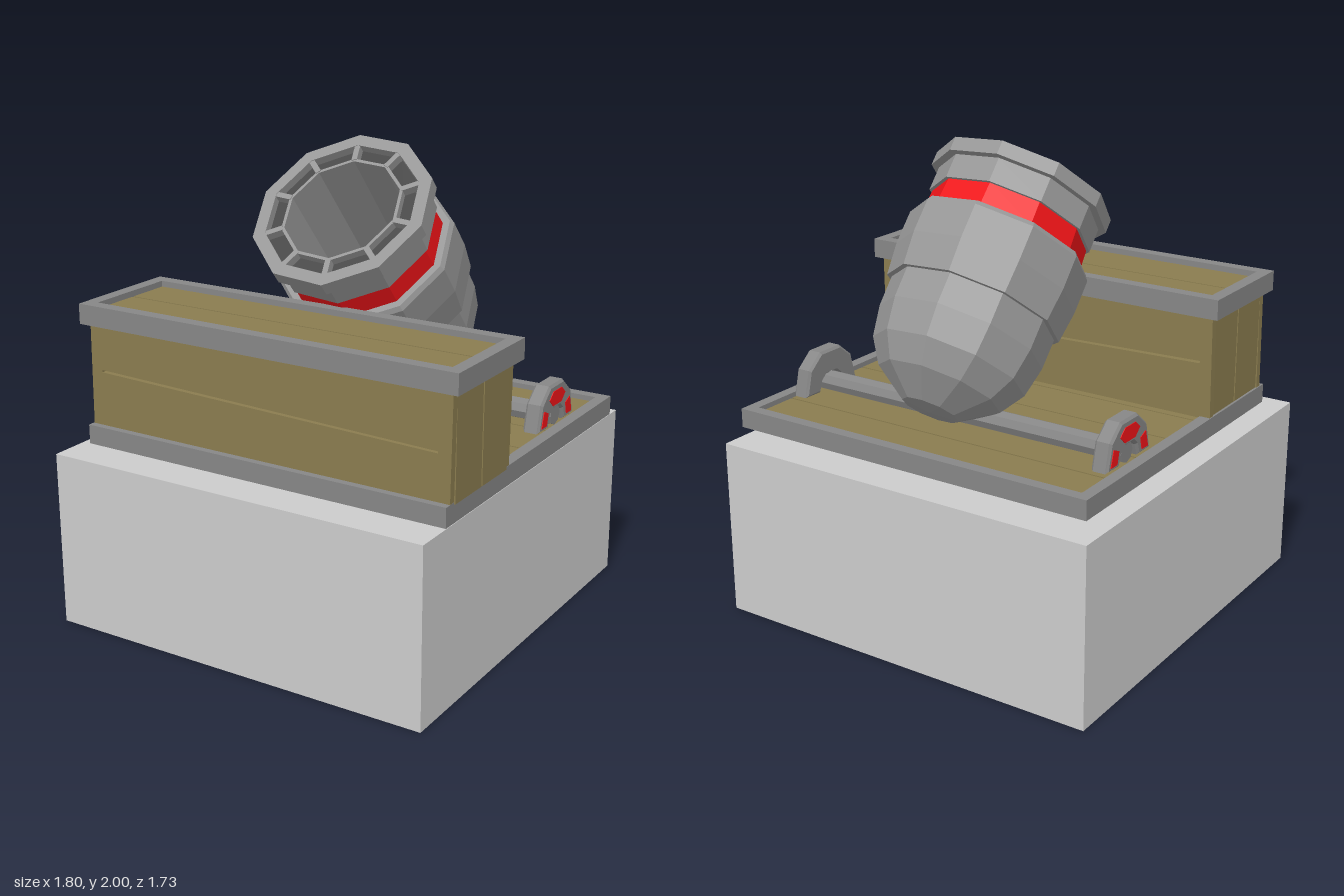
import * as THREE from 'three';

const mat = (color, extra = {}) => new THREE.MeshStandardMaterial({ color, flatShading: true, ...extra });
const stone = mat(0xcccccc);
const trim = mat(0x868686);
const iron = mat(0x969696);
const dark = mat(0x444444);
const wood = mat(0x8a7c4f);
const red = mat(0xf01418);

function add(parent, name, geometry, material) {
  const mesh = new THREE.Mesh(geometry, material);
  mesh.name = name;
  parent.add(mesh);
  return mesh;
}

// Box given by its limits on each axis
function box(parent, name, material, [x0, x1], [y0, y1], [z0, z1]) {
  const mesh = add(parent, name, new THREE.BoxGeometry(x1 - x0, y1 - y0, z1 - z0), material);
  mesh.position.set((x0 + x1) / 2, (y0 + y1) / 2, (z0 + z1) / 2);
  return mesh;
}

// Rectangular border of four bars
function border(parent, name, [x0, x1], y, [z0, z1], w) {
  const group = new THREE.Group();
  group.name = name;
  box(group, 'frontBar', trim, [x0, x1], y, [z1 - w, z1]);
  box(group, 'backBar', trim, [x0, x1], y, [z0, z0 + w]);
  box(group, 'leftBar', trim, [x1 - w, x1], y, [z0 + w, z1 - w]);
  box(group, 'rightBar', trim, [x0, x0 + w], y, [z0 + w, z1 - w]);
  parent.add(group);
}

const points = list => list.map(([x, y]) => new THREE.Vector2(x, y));

// Flat outline, optionally with a hole, pushed out along z
function slab(outline, depth, hole, bevel = 0) {
  const shape = new THREE.Shape(points(outline));
  if (hole) shape.holes.push(new THREE.Path(points(hole)));
  return new THREE.ExtrudeGeometry(shape, {
    depth, bevelEnabled: bevel > 0, bevelSize: bevel, bevelThickness: bevel, bevelSegments: 1,
  });
}

// Ten-sided turned part
const SIDES = 10;
const START = THREE.MathUtils.degToRad(13);
const turned = profile => new THREE.LatheGeometry(points(profile), SIDES, START);

function buildBarrel() {
  const barrel = new THREE.Group();
  barrel.name = 'barrel';
  // Rounded breech, stepped into the wider jacket
  add(barrel, 'breech', turned([
    [0, -1.035], [0.12, -1.025], [0.26, -0.93], [0.325, -0.83], [0.35, -0.7], [0.352, -0.55],
  ]), iron);
  add(barrel, 'jacket', turned([
    [0.34, -0.57], [0.372, -0.57], [0.388, -0.43], [0.388, -0.285], [0.375, -0.265], [0.3, -0.265],
  ]), iron);
  add(barrel, 'redBand', turned([[0.345, -0.27], [0.338, -0.16]]), red);
  // Muzzle collar, rim and recess wall
  add(barrel, 'muzzle', turned([
    [0.3, -0.165], [0.352, -0.165], [0.352, -0.06], [0.385, -0.06], [0.385, 0], [0.33, 0], [0.33, -0.04],
  ]), iron);
  add(barrel, 'recess', turned([[0.33, -0.035], [0.255, -0.035]]), dark);
  add(barrel, 'bore', turned([
    [0.262, -0.035], [0.262, -0.005], [0.248, -0.005], [0.248, -0.75], [0, -0.75],
  ]), iron);
  // Ribs across the muzzle recess
  for (let i = 0; i < SIDES; i++) {
    const a = START + (i / SIDES) * Math.PI * 2;
    const rib = add(barrel, 'muzzleRib', new THREE.BoxGeometry(0.024, 0.035, 0.085), iron);
    rib.position.set(Math.sin(a) * 0.296, -0.0195, Math.cos(a) * 0.296);
    rib.rotation.y = a;
  }
  barrel.position.set(0.015, 1.75, 0.12);
  barrel.rotation.x = 0.712;
  return barrel;
}

function buildBracket(side) {
  const bracket = new THREE.Group();
  bracket.name = side > 0 ? 'leftBracket' : 'rightBracket';
  // Half-octagon arch
  const arch = add(bracket, 'arch', slab([
    [0.155, 0], [0.13, 0.1], [0.06, 0.158], [-0.06, 0.158], [-0.13, 0.1], [-0.155, 0],
    [-0.08, 0], [-0.065, 0.045], [-0.035, 0.07], [0.035, 0.07], [0.065, 0.045], [0.08, 0],
  ], 0.054, null, 0.01), trim);
  arch.position.z = 0.01;
  // Red inlays on the outer face
  const inlays = [
    [[0.04, 0.078], [0.075, 0.11], [0.04, 0.14], [-0.04, 0.14], [-0.075, 0.11], [-0.04, 0.078]],
    [[0.095, 0.008], [0.143, 0.008], [0.123, 0.078], [0.082, 0.06]],
    [[-0.095, 0.008], [-0.082, 0.06], [-0.123, 0.078], [-0.143, 0.008]],
  ];
  for (const outline of inlays) {
    add(bracket, 'inlay', slab(outline, 0.006), red).position.z = 0.071;
  }
  bracket.position.set(0.02 + side * 0.7, 0.862, -0.31);
  bracket.rotation.y = side * Math.PI / 2;
  return bracket;
}

function buildCrate() {
  const crate = new THREE.Group();
  crate.name = 'crate';
  const [x0, x1, y0, y1] = [-0.81, 0.86, 0.855, 1.3];
  // Long walls with a slanted split
  const wall = [[x0 - 0.006, y0], [x1 - 0.006, y0], [x1, y1], [x0, y1]];
  const split = [[-0.76, 1.09], [-0.76, 1.1], [0.8, 1.058], [0.8, 1.05]];
  add(crate, 'frontWall', slab(wall, 0.03, split), wood).position.z = 0.685;
  add(crate, 'backWall', slab(wall, 0.03, split), wood).position.z = 0.245;
  // End walls of two upright boards
  for (const x of [[x0, x0 + 0.03], [x1 - 0.03, x1]]) {
    box(crate, 'endBoard', wood, x, [y0, y1], [0.484, 0.685]);
    box(crate, 'endBoard', wood, x, [y0, y1], [0.275, 0.476]);
  }
  // Lid boards inside a border
  box(crate, 'lidBoard', wood, [-0.8, 0.85], [1.295, 1.35], [0.26, 0.469]);
  box(crate, 'lidBoard', wood, [-0.8, 0.85], [1.295, 1.35], [0.477, 0.7]);
  box(crate, 'lidUnderside', dark, [-0.8, 0.85], [1.292, 1.335], [0.265, 0.695]);
  border(crate, 'lidBorder', [-0.84, 0.895], [1.29, 1.375], [0.225, 0.745], 0.054);
  return crate;
}

export function createModel() {
  const model = new THREE.Group();
  model.name = 'mortarEmplacement';

  box(model, 'baseBlock', stone, [-0.9, 0.83], [0, 0.755], [-0.865, 0.865]);

  // Plank deck inside its border
  const deck = new THREE.Group();
  deck.name = 'deck';
  model.add(deck);
  border(deck, 'deckBorder', [-0.82, 0.855], [0.78, 0.862], [-0.735, 0.745], 0.05);
  box(deck, 'deckUnderside', dark, [-0.78, 0.81], [0.785, 0.825], [-0.69, 0.7]);
  const seams = [-0.69, -0.48, -0.24, 0, 0.24, 0.48, 0.7];
  for (let i = 0; i < seams.length - 1; i++) {
    box(deck, 'plank', wood, [-0.78, 0.81], [0.8, 0.84], [seams[i] + 0.004, seams[i + 1] - 0.004]);
  }

  model.add(buildCrate(), buildBarrel());

  // Axle and its two brackets
  const axle = add(model, 'axle', new THREE.CylinderGeometry(0.045, 0.045, 1.53, 8), trim);
  axle.rotation.z = Math.PI / 2;
  axle.position.set(0.02, 0.89, -0.315);
  for (const side of [-1, 1]) model.add(buildBracket(side));

  return model;
}
